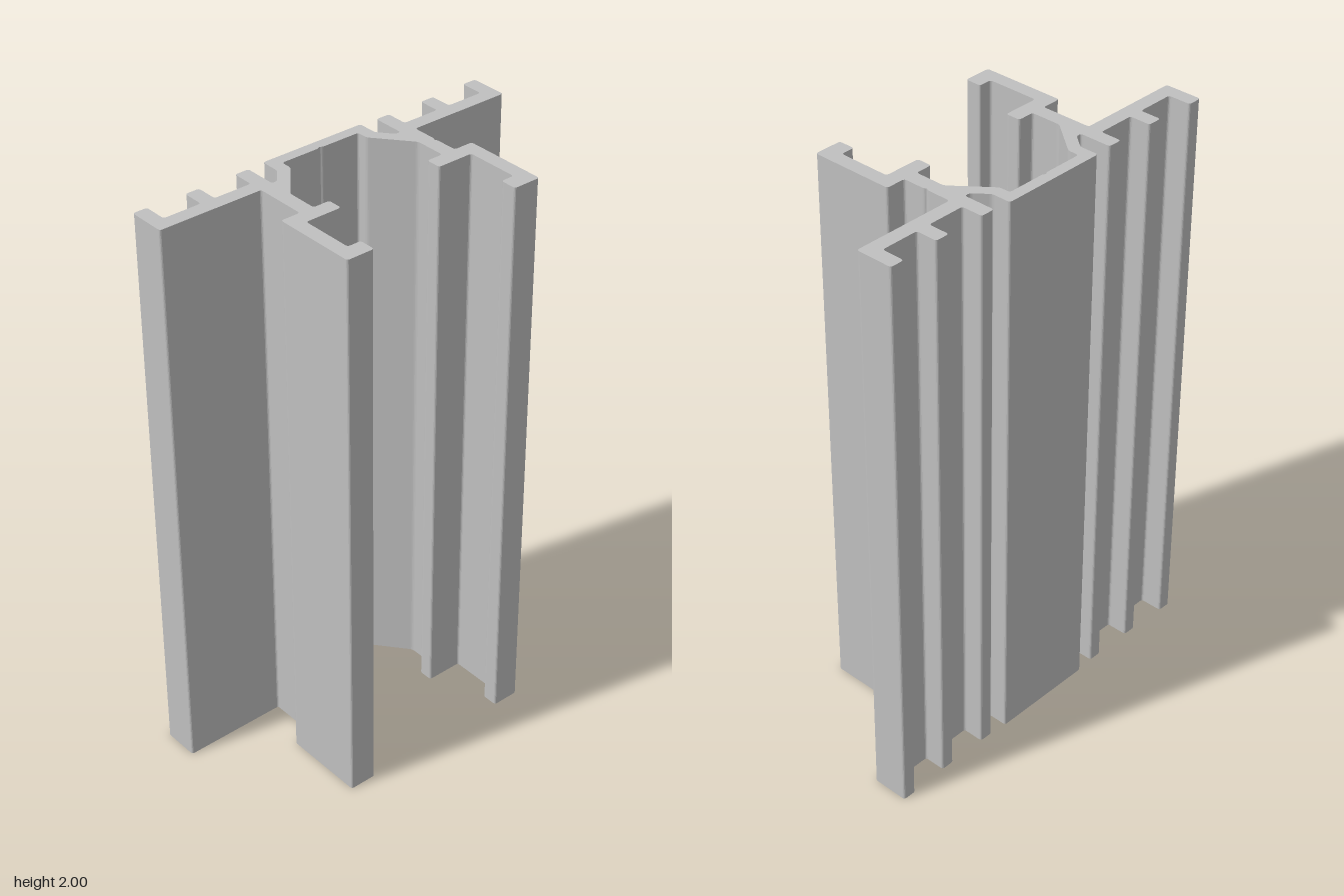
import * as THREE from 'three';

// Half of the cross-section as [x, distance from the middle], from the inner back wall round to the outer one
const HALF = [
  [-0.264, 0.01], [-0.264, 0.148], [-0.225, 0.148], [-0.1, 0.249], [0.007, 0.249], // channel and brace
  [0.007, 0.19], [0.06, 0.19], [0.06, 0.319], [0.244, 0.319], [0.244, 0.271],      // hook, inside
  [0.302, 0.271], [0.302, 0.369], [0.007, 0.369], [0.007, 0.3],                    // hook, outside
  [-0.172, 0.3], [-0.172, 0.666], [-0.303, 0.666], [-0.303, 0.616],                // flange and end lip
  [-0.222, 0.616], [-0.222, 0.483], [-0.297, 0.483], [-0.297, 0.433],              // middle fin
  [-0.222, 0.433], [-0.222, 0.3], [-0.297, 0.3], [-0.297, 0.25],                   // inner fin
  [-0.185, 0.25], [-0.185, 0.231], [-0.235, 0.19], [-0.303, 0.19],                 // brace and back wall
];
// Small score line on the rear web only
const SCORE = [[-0.07, 0.3], [-0.078, 0.294], [-0.086, 0.3]];

// Closed shape with a small fillet at each corner
function roundedShape(points, radius) {
  const shape = new THREE.Shape();
  const v = points.map(([x, y]) => new THREE.Vector2(x, y));
  const toward = (a, b) => {
    const length = a.distanceTo(b);
    return a.clone().lerp(b, Math.min(radius, length * 0.4) / length);
  };
  v.forEach((p, i) => {
    const start = toward(p, v[(i + v.length - 1) % v.length]);
    const end = toward(p, v[(i + 1) % v.length]);
    if (i === 0) shape.moveTo(start.x, start.y);
    else shape.lineTo(start.x, start.y);
    shape.quadraticCurveTo(p.x, p.y, end.x, end.y);
  });
  shape.closePath();
  return shape;
}

export function createModel() {
  const group = new THREE.Group();
  group.name = 'extrudedRail';
  const aluminium = new THREE.MeshStandardMaterial({ color: 0xc0c0c0 });
  aluminium.name = 'aluminium grey';

  // Shape y becomes -z once the extrusion is stood upright
  const rear = HALF.slice();
  rear.splice(14, 0, ...SCORE);
  const front = HALF.map(([x, y]) => [x, -y]).reverse();
  const outline = [[-0.27, 0], ...rear, ...front];

  const geometry = new THREE.ExtrudeGeometry(roundedShape(outline, 0.01), {
    depth: 2, bevelEnabled: false, curveSegments: 4,
  });
  geometry.rotateX(-Math.PI / 2);

  const profile = new THREE.Mesh(geometry, aluminium);
  profile.name = 'railProfile';
  group.add(profile);
  return group;
}
